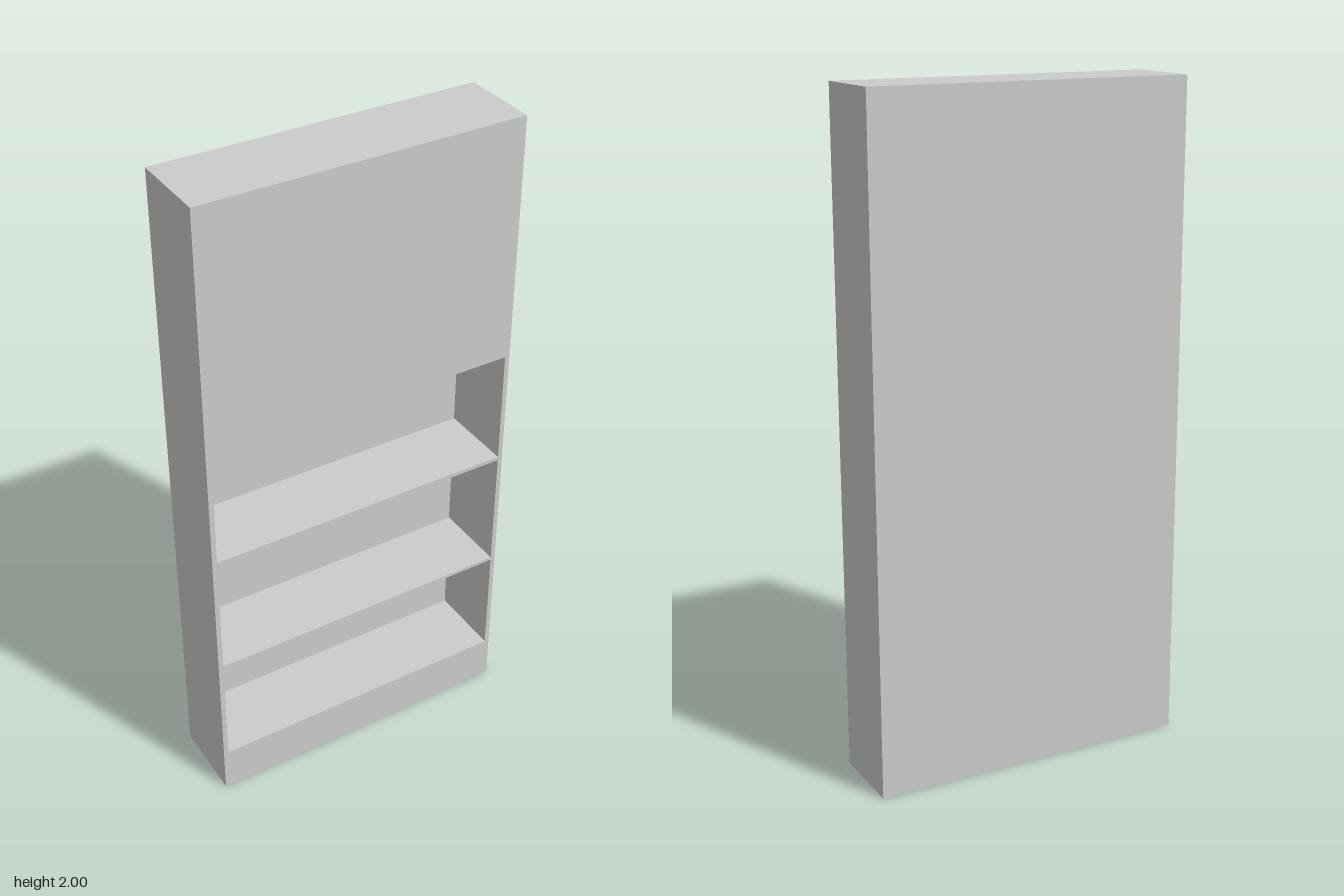
import * as THREE from 'three';

const WIDTH = 0.98, HEIGHT = 2, DEPTH = 0.244;
const BACK = 0.01; // back panel thickness
const INNER = 0.475; // half width of the openings
const OPENINGS = [[0.142, 0.492], [0.502, 0.885], [0.897, 1.254]]; // bottom and top heights

// Closed rectangle, usable as an outline or as a hole
function rectangle(PathType, halfWidth, bottom, top) {
  const path = new PathType();
  path.moveTo(-halfWidth, bottom);
  path.lineTo(halfWidth, bottom);
  path.lineTo(halfWidth, top);
  path.lineTo(-halfWidth, top);
  path.closePath();
  return path;
}

export function createModel() {
  const model = new THREE.Group();
  model.name = 'bookcase';
  const material = new THREE.MeshStandardMaterial({ color: 0xcccccc });

  // Carcass: solid top and plinth, thin sides and shelves around three open bays
  const outline = rectangle(THREE.Shape, WIDTH / 2, 0, HEIGHT);
  for (const [bottom, top] of OPENINGS) {
    outline.holes.push(rectangle(THREE.Path, INNER, bottom, top));
  }
  const carcass = new THREE.Mesh(
    new THREE.ExtrudeGeometry(outline, { depth: DEPTH - BACK, bevelEnabled: false }),
    material
  );
  carcass.name = 'carcass';
  carcass.position.z = -DEPTH / 2 + BACK;
  model.add(carcass);

  // Back panel closing the bays
  const backPanel = new THREE.Mesh(new THREE.BoxGeometry(WIDTH, HEIGHT, BACK), material);
  backPanel.name = 'backPanel';
  backPanel.position.set(0, HEIGHT / 2, -DEPTH / 2 + BACK / 2);
  model.add(backPanel);

  return model;
}
